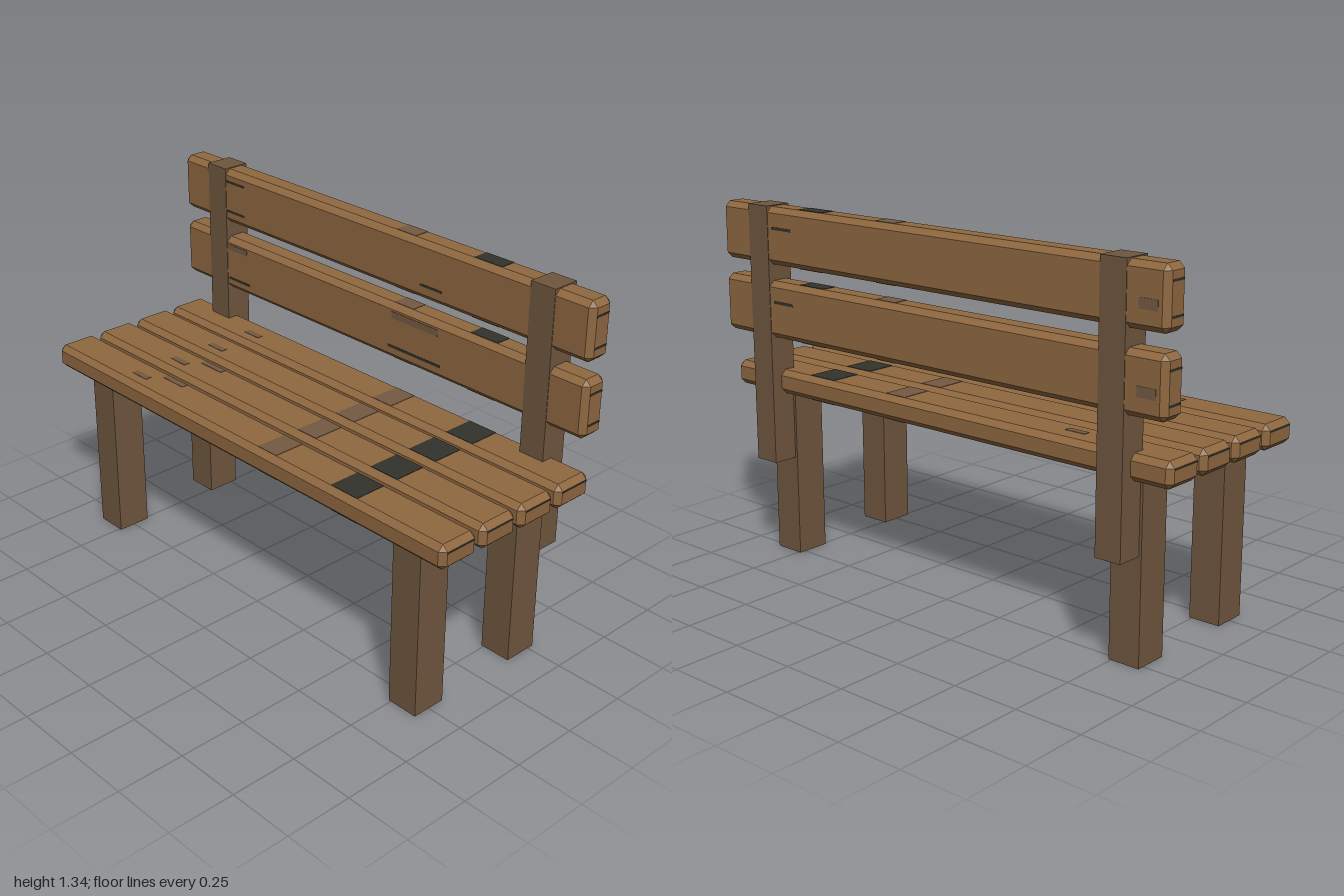
import * as THREE from 'three';
import { ConvexGeometry } from 'three/addons/geometries/ConvexGeometry.js';

const mat = (name, color) => {
  const m = new THREE.MeshStandardMaterial({ color });
  m.name = name;
  return m;
};

// Box with every edge and corner cut off at an angle
function chamferedBox(w, h, d, c) {
  const points = [];
  for (const x of [-1, 1]) for (const y of [-1, 1]) for (const z of [-1, 1]) {
    const X = x * w / 2, Y = y * h / 2, Z = z * d / 2;
    points.push(
      new THREE.Vector3(X, Y - y * c, Z - z * c),
      new THREE.Vector3(X - x * c, Y, Z - z * c),
      new THREE.Vector3(X - x * c, Y - y * c, Z));
  }
  return new ConvexGeometry(points);
}

export function createModel() {
  const wood = mat('slat wood', 0x8f6840);
  const frame = mat('frame wood', 0x70573f);
  const worn = mat('worn wood', 0x755a42);
  const dark = mat('dark stain', 0x33332c);

  const bench = new THREE.Group();
  bench.name = 'bench';

  const add = (parent, name, geometry, material, x, y, z) => {
    const mesh = new THREE.Mesh(geometry, material);
    mesh.name = name;
    mesh.position.set(x, y, z);
    parent.add(mesh);
  };
  const box = (parent, name, material, w, h, d, x, y, z) =>
    add(parent, name, new THREE.BoxGeometry(w, h, d), material, x, y, z);

  // One slat with stains across its top, underside and ends
  const T = 0.003, C = 0.02;
  function slat(name, h, d, y, z) {
    const g = new THREE.Group();
    g.name = name;
    g.position.set(0, y, z);
    bench.add(g);
    add(g, 'plank', chamferedBox(2, h, d, C), wood, 0, 0, 0);
    const flat = d - 2 * C;
    for (const s of [1, -1]) {
      box(g, 'darkBand', dark, 0.12, T, flat, 0.55, s * h / 2, 0);
      box(g, 'wornBand', worn, 0.09, T, flat, 0.18, s * h / 2, 0);
    }
    return g;
  }

  // Seat
  [0.29, 0.11, -0.07, -0.25].forEach((z, i) => {
    const g = slat('seatSlat', 0.09, 0.16, 0.685, z);
    box(g, 'wornSpot', worn, 0.08, T, 0.025, -0.57, 0.045, 0.01);
    if (i < 2) box(g, 'wornSpot', worn, 0.11, T, 0.025, -0.445, 0.045, -0.047);
    for (const s of [1, -1]) box(g, 'endLine', dark, T, 0.005, 0.12, s, 0.021, 0);
  });

  // Backrest, with scratches on both faces and the ends
  [1.235, 0.965].forEach((y, i) => {
    const g = slat('backSlat', 0.21, 0.1, y, -0.32);
    for (const s of [1, -1]) {
      for (const v of [0.055, -0.055]) box(g, 'endLine', dark, T, 0.007, 0.06, s, v, 0);
    }
    if (i === 0) {
      box(g, 'scratch', dark, 0.11, 0.008, T, -0.7, 0.06, 0.05);
      box(g, 'scratch', dark, 0.11, 0.008, T, -0.7, -0.057, 0.05);
      box(g, 'scratch', dark, 0.1, 0.008, T, 0.32, -0.052, 0.05);
    } else {
      box(g, 'wornSpot', worn, 0.11, 0.022, T, -0.69, 0.068, 0.05);
      box(g, 'wornSpot', worn, 0.22, 0.025, T, 0.25, 0.065, 0.05);
      box(g, 'scratch', dark, 0.12, 0.009, T, -0.68, -0.06, 0.05);
      box(g, 'scratch', dark, 0.25, 0.009, T, 0.25, -0.056, 0.05);
    }
    box(g, 'wornSpot', worn, 0.07, 0.035, T, -0.93, -0.02, -0.05);
    box(g, 'scratch', dark, 0.1, 0.01, T, 0.68, 0.03, -0.05);
  });

  // Legs and back posts
  for (const s of [1, -1]) {
    box(bench, 'frontLeg', frame, 0.12, 0.66, 0.13, s * 0.8, 0.33, 0.25);
    box(bench, 'rearLeg', frame, 0.12, 0.66, 0.13, s * 0.8, 0.33, -0.21);
    box(bench, 'backPost', frame, 0.1, 0.962, 0.104, s * 0.8, 0.862, -0.32);
  }
  return bench;
}
